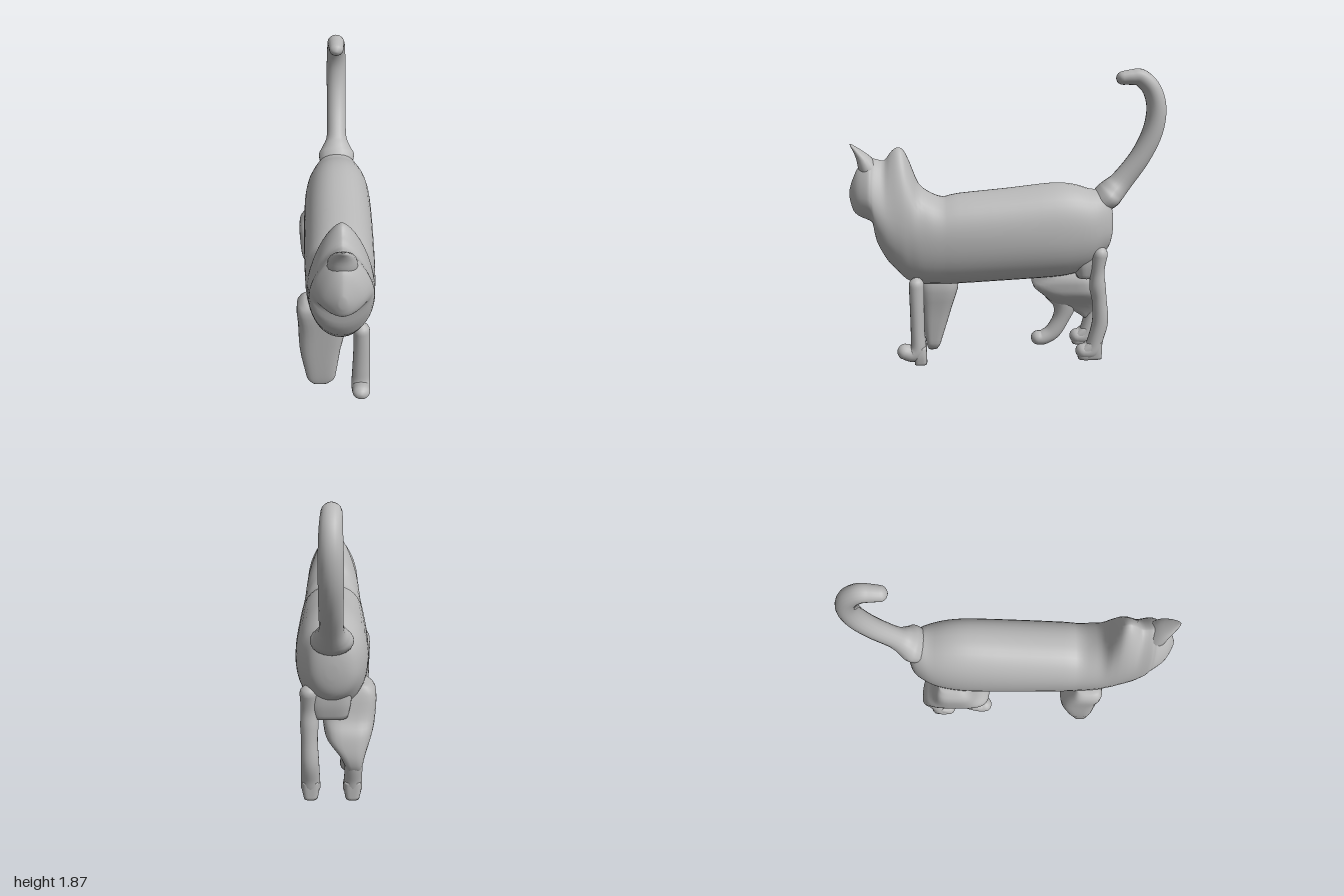
import * as THREE from 'three';

const CX = 0.015;
const grey = new THREE.MeshStandardMaterial({ color: 0xb8b8b8 });
grey.name = 'grey';

// Smoothly resample a table of rows (Catmull-Rom per column)
function smooth(rows, steps) {
  const out = [], last = rows.length - 1;
  const row = i => rows[Math.min(Math.max(i, 0), last)];
  for (let i = 0; i < last; i++) {
    for (let k = 0; k < steps; k++) {
      const t = k / steps;
      out.push(rows[i].map((b, j) => {
        const a = row(i - 1)[j], c = row(i + 1)[j], d = row(i + 2)[j];
        return b + 0.5 * t * (c - a + t * (2 * a - 5 * b + 4 * c - d + t * (3 * (b - c) + d - a)));
      }));
    }
  }
  out.push(rows[last]);
  return out;
}

// Skin a list of closed rings and cap both ends
function loft(name, rings) {
  const n = rings[0].length, pos = [], idx = [];
  rings.forEach(r => r.forEach(p => pos.push(...p)));
  for (let i = 0; i < rings.length - 1; i++) {
    for (let j = 0; j < n; j++) {
      const k = (j + 1) % n, a = i * n, b = a + n;
      idx.push(a + j, a + k, b + j, a + k, b + k, b + j);
    }
  }
  [0, rings.length - 1].forEach(i => {
    const c = pos.length / 3;
    pos.push(...[0, 1, 2].map(d => rings[i].reduce((s, p) => s + p[d], 0) / n));
    for (let j = 0; j < n; j++) {
      const a = i * n + j, b = i * n + (j + 1) % n;
      idx.push(...(i ? [a, b, c] : [b, a, c]));
    }
  });
  // turn the skin outward when its enclosed volume is negative
  const P = i => new THREE.Vector3().fromArray(pos, i * 3);
  let vol = 0;
  for (let i = 0; i < idx.length; i += 3) vol += P(idx[i]).dot(P(idx[i + 1]).cross(P(idx[i + 2])));
  if (vol < 0) idx.reverse();
  const g = new THREE.BufferGeometry();
  g.setAttribute('position', new THREE.Float32BufferAttribute(pos, 3));
  g.setIndex(idx);
  g.computeVertexNormals();
  const mesh = new THREE.Mesh(g, grey);
  mesh.name = name;
  return mesh;
}

// Superellipse ring, calls back with unit coordinates
function ring(n, e, place) {
  const f = v => Math.sign(v) * Math.abs(v) ** (2 / e);
  return Array.from({ length: n }, (_, j) => {
    const t = (j + 0.5) / n * Math.PI * 2;
    return place(f(Math.cos(t)), f(Math.sin(t)));
  });
}

// Round limb with domed ends; rows are [x, y, z, side radius, front/back radius]
function limb(name, rows) {
  const pts = smooth(rows, 6), rings = [], m = pts.length - 1;
  pts.forEach((p, i) => {
    const a = pts[Math.max(i - 1, 0)], b = pts[Math.min(i + 1, m)];
    const len = Math.hypot(b[1] - a[1], b[2] - a[2]);
    const ty = (b[1] - a[1]) / len, tz = (b[2] - a[2]) / len;
    const add = (s, off) => rings.push(ring(18, 2, (u, v) => [
      p[0] + u * p[3] * s,
      p[1] + ty * off - tz * v * p[4] * s,
      p[2] + tz * off + ty * v * p[4] * s]));
    const dome = [0.15, 0.5, 0.8, 0.95];
    if (i === 0) dome.forEach(s => add(s, -p[4] * Math.sqrt(1 - s * s)));
    add(1, 0);
    if (i === m) dome.reverse().forEach(s => add(s, p[4] * Math.sqrt(1 - s * s)));
  });
  return loft(name, rings);
}

// Blocky limb from level sections; rows are [y, x0, x1, z0, z1]
function block(name, rows) {
  return loft(name, smooth(rows, 3).map(([y, x0, x1, z0, z1]) =>
    ring(32, 3.5, (u, v) => [(x0 + x1 + u * (x1 - x0)) / 2, y, (z0 + z1 + v * (z1 - z0)) / 2])));
}

export function createModel() {
  const cat = new THREE.Group();
  cat.name = 'cat';

  // Head and body in one skin: [z, top, bottom, half width, height of widest point, roundness of the top]
  const sections = [
    [1.0, 1.13, 1.06, 0.02, 1.09, 1.8],
    [0.98, 1.19, 0.99, 0.06, 1.08, 1.7],
    [0.94, 1.27, 0.955, 0.115, 1.08, 1.6],
    [0.88, 1.32, 0.93, 0.16, 1.08, 1.5],
    [0.855, 1.32, 0.9, 0.172, 1.06, 1.5],
    [0.835, 1.32, 0.78, 0.18, 1.03, 1.5],
    [0.78, 1.31, 0.67, 0.187, 0.97, 1.5],
    [0.74, 1.36, 0.62, 0.19, 0.94, 1.5],
    [0.7, 1.39, 0.575, 0.193, 0.92, 1.55],
    [0.66, 1.375, 0.535, 0.197, 0.9, 1.6],
    [0.62, 1.29, 0.515, 0.2, 0.88, 1.7],
    [0.57, 1.16, 0.505, 0.205, 0.85, 1.9],
    [0.5, 1.1, 0.5, 0.21, 0.84, 2.1],
    [0.42, 1.07, 0.5, 0.213, 0.83, 2.2],
    [0.32, 1.09, 0.5, 0.218, 0.83, 2.2],
    [0.0, 1.12, 0.515, 0.225, 0.83, 2.2],
    [-0.28, 1.15, 0.53, 0.225, 0.83, 2.2],
    [-0.42, 1.14, 0.55, 0.215, 0.84, 2.2],
    [-0.52, 1.11, 0.59, 0.195, 0.85, 2.2],
    [-0.59, 1.1, 0.66, 0.165, 0.86, 2.2],
    [-0.64, 1.07, 0.71, 0.13, 0.87, 2.2],
    [-0.665, 1.0, 0.77, 0.085, 0.88, 2],
    [-0.675, 0.92, 0.84, 0.03, 0.88, 2],
  ];
  cat.add(loft('body', smooth(sections, 3).map(([z, top, bottom, w, mid, e]) =>
    ring(40, 2, (u, v) => {
      const up = v > 0;
      const x = up ? Math.sign(u) * (1 - v ** e) ** (1 / e) : u;
      return [CX + x * w, mid + v * (up ? top - mid : mid - bottom), z];
    }))));

  // Forward ear, leaning to its tip: [y, z, half width, half depth]
  const ear = [
    [1.15, 0.83, 0.07, 0.05], [1.24, 0.865, 0.085, 0.07], [1.32, 0.9, 0.07, 0.05],
    [1.37, 0.94, 0.045, 0.028], [1.4, 0.97, 0.022, 0.014], [1.415, 0.982, 0.005, 0.004],
  ];
  cat.add(loft('frontEar', smooth(ear, 3).map(([y, z, w, d]) =>
    ring(18, 2, (u, v) => [CX + u * w, y, z + v * d]))));

  // Tail, flared at the root and curling forward at the tip
  cat.add(limb('tail', [
    [CX, 0.98, -0.53, 0.09, 0.06], [CX, 1.055, -0.63, 0.125, 0.085], [CX, 1.1, -0.675, 0.1, 0.083],
    [0.017, 1.16, -0.73, 0.07, 0.072],
    [0.018, 1.31, -0.84, 0.067, 0.066], [0.018, 1.47, -0.915, 0.067, 0.065], [0.018, 1.62, -0.935, 0.066, 0.062],
    [0.018, 1.74, -0.9, 0.062, 0.058], [CX, 1.81, -0.83, 0.057, 0.054], [CX, 1.815, -0.77, 0.052, 0.048],
    [CX, 1.81, -0.715, 0.047, 0.042],
  ]));

  // Slim left legs with forward paws
  cat.add(limb('leftFrontLeg', [
    [0.145, 0.53, 0.595, 0.05, 0.048], [0.148, 0.4, 0.595, 0.052, 0.046], [0.148, 0.22, 0.595, 0.056, 0.045],
    [0.148, 0.11, 0.595, 0.06, 0.05], [0.147, 0.068, 0.625, 0.06, 0.056], [0.147, 0.08, 0.68, 0.057, 0.05],
  ]));
  cat.add(limb('leftHindLeg', [
    [0.15, 0.71, -0.575, 0.055, 0.05], [0.15, 0.6, -0.565, 0.05, 0.042], [0.15, 0.5, -0.565, 0.055, 0.053],
    [0.15, 0.4, -0.58, 0.05, 0.048], [0.148, 0.26, -0.59, 0.055, 0.052], [0.147, 0.14, -0.565, 0.058, 0.05],
    [0.147, 0.06, -0.54, 0.06, 0.056], [0.147, 0.05, -0.48, 0.056, 0.048],
  ]));

  // Flat heels under the upright feet: [name, x, z0, z1]
  [['leftFrontHeel', 0.148, 0.54, 0.62], ['leftHindHeel', 0.147, -0.605, -0.45], ['rightHindHeel', -0.11, -0.605, -0.45]]
    .forEach(([name, x, z0, z1]) => cat.add(block(name, [
      [0.12, x - 0.05, x + 0.05, z0, z0 + 0.08], [0.06, x - 0.055, x + 0.055, z0, z1], [0, x - 0.045, x + 0.045, z0, z1],
    ])));

  // Heavy right foreleg
  cat.add(block('rightFrontLeg', [
    [0.71, -0.2, -0.1, 0.43, 0.57], [0.66, -0.25, -0.03, 0.4, 0.6], [0.5, -0.248, 0.05, 0.325, 0.59],
    [0.3, -0.243, 0.02, 0.375, 0.575], [0.12, -0.215, -0.005, 0.43, 0.56], [0.04, -0.2, -0.02, 0.455, 0.55],
    [0, -0.17, -0.06, 0.475, 0.54],
  ]));

  // Right haunch carrying two lower legs
  cat.add(block('rightHaunch', [
    [0.72, -0.2, -0.06, -0.49, -0.32], [0.66, -0.25, 0.0, -0.52, -0.28], [0.53, -0.25, 0.07, -0.56, -0.23],
    [0.455, -0.24, 0.07, -0.61, -0.165], [0.39, -0.22, 0.05, -0.635, -0.225], [0.31, -0.19, -0.02, -0.65, -0.31],
    [0.24, -0.17, -0.06, -0.64, -0.45], [0.19, -0.15, -0.08, -0.61, -0.52],
  ]));
  cat.add(limb('rightHindLeg', [
    [-0.115, 0.34, -0.585, 0.06, 0.06], [-0.115, 0.24, -0.585, 0.055, 0.052], [-0.112, 0.14, -0.565, 0.055, 0.048],
    [-0.11, 0.058, -0.54, 0.06, 0.055], [-0.11, 0.05, -0.48, 0.057, 0.048],
  ]));
  cat.add(limb('innerHindLeg', [
    [-0.09, 0.4, -0.36, 0.08, 0.12], [-0.09, 0.3, -0.39, 0.065, 0.085], [-0.09, 0.2, -0.37, 0.055, 0.058],
    [-0.09, 0.1, -0.315, 0.055, 0.054], [-0.09, 0.055, -0.25, 0.056, 0.05], [-0.09, 0.052, -0.21, 0.054, 0.048],
  ]));

  // Hip bridging the hind legs under the rump
  cat.add(block('hip', [
    [0.8, -0.1, 0.14, -0.6, -0.42], [0.65, -0.1, 0.16, -0.61, -0.42], [0.54, -0.08, 0.14, -0.59, -0.44],
  ]));
  return cat;
}
